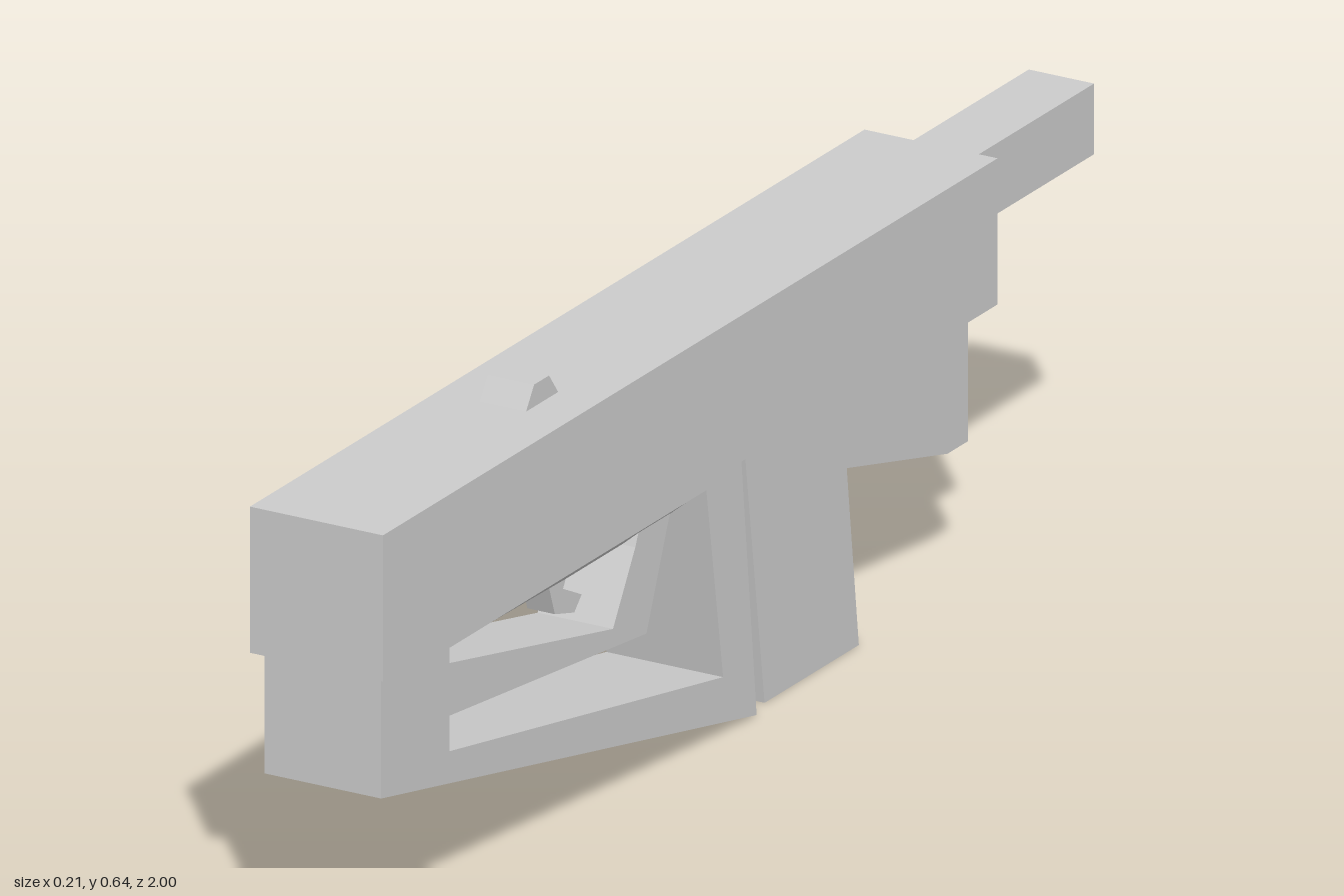
import * as THREE from 'three';

const material = new THREE.MeshStandardMaterial({ color: 0xcccccc, flatShading: true, side: THREE.DoubleSide });

// Closed path from [a, b] pairs
const trace = (path, pts) => {
  pts.forEach(([a, b], i) => (i ? path.lineTo(a, b) : path.moveTo(a, b)));
  path.closePath();
  return path;
};

export function createModel() {
  const model = new THREE.Group();
  const add = (name, geometry) => {
    const mesh = new THREE.Mesh(geometry, material);
    mesh.name = name;
    model.add(mesh);
    return mesh;
  };

  // Side profile of [z, y] points, extruded evenly to both sides of x = 0
  const slab = (name, halfWidth, pts, hole) => {
    const shape = trace(new THREE.Shape(), pts);
    if (hole) shape.holes.push(trace(new THREE.Path(), hole));
    const geometry = new THREE.ExtrudeGeometry(shape, { depth: 2 * halfWidth, bevelEnabled: false });
    geometry.translate(0, 0, -halfWidth).rotateY(-Math.PI / 2);
    return add(name, geometry);
  };

  // Main housing
  add('body', new THREE.BoxGeometry(0.212, 0.215, 1.65)).position.set(0, 0.508, 0.175);

  // Hollow square tube at the rear
  const square = (r) => [[-r, -r], [r, -r], [r, r], [-r, r]];
  const tubeShape = trace(new THREE.Shape(), square(0.052));
  tubeShape.holes.push(trace(new THREE.Path(), square(0.039)));
  const tube = new THREE.ExtrudeGeometry(tubeShape, { depth: 0.35, bevelEnabled: false });
  add('barrel', tube).position.set(0, 0.545, -1);

  // Small raised block on top
  slab('sight', 0.037, [[0.5, 0.615], [0.478, 0.648], [0.438, 0.648], [0.413, 0.615]]);

  // Open lower frame
  slab('frame', 0.093,
    [[0.983, 0.402], [0.983, 0.22], [-0.025, 0.004], [0.017, 0.402]],
    [[0.8, 0.38], [0.11, 0.38], [0.065, 0.09], [0.8, 0.228]]);

  // Bent guard bar inside the frame
  slab('triggerGuard', 0.06, [[0.81, 0.347], [0.305, 0.235], [0.245, 0.335], [0.225, 0.38],
    [0.14, 0.38], [0.16, 0.335], [0.215, 0.198], [0.81, 0.262]]);

  // Tapered pad under the frame's top bar: a box narrowed at its bottom
  const pad = new THREE.BoxGeometry(2, 2, 2);
  const p = pad.attributes.position;
  for (let i = 0; i < p.count; i++) {
    const low = p.getY(i) < 0;
    const front = p.getZ(i) > 0;
    p.setXYZ(i, p.getX(i) * (low ? 0.04 : 0.093), low ? 0.336 : 0.382,
      front ? (low ? 0.4 : 0.8) : (low ? 0.16 : 0.11));
  }
  pad.computeVertexNormals();
  add('guardPad', pad);

  // Hooked trigger
  slab('trigger', 0.022, [[0.42, 0.345], [0.397, 0.28], [0.345, 0.265],
    [0.325, 0.285], [0.375, 0.31], [0.355, 0.345]]);

  // Slanted grip
  slab('grip', 0.079, [[-0.015, 0.405], [-0.07, 0.004], [-0.323, 0.004], [-0.275, 0.405]]);

  // Block behind the grip
  slab('rearBlock', 0.059, [[-0.265, 0.386], [-0.265, 0.275], [-0.595, 0.19], [-0.65, 0.19], [-0.65, 0.386]]);

  return model;
}
